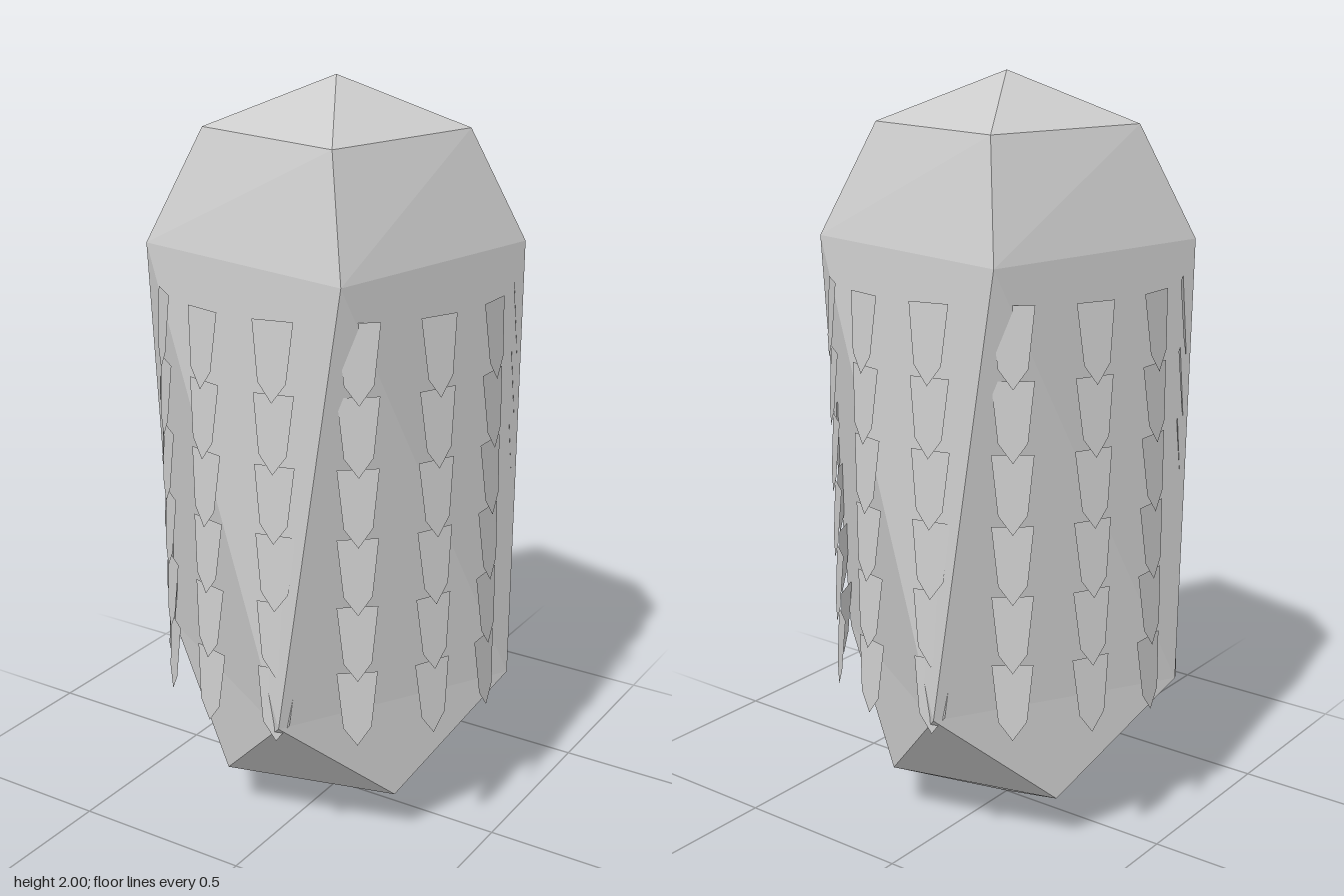
import * as THREE from 'three';

const polar = (r, a, y) => [r * Math.sin(a), y, r * Math.cos(a)];

// Four-sided body: rings of [height, radius, turn in degrees], top to bottom
function bodyGeometry() {
  const rings = [[1.87, 0.336, 30.3], [1.58, 0.484, 33.2], [0.43, 0.484, 14.4], [0.14, 0.336, -30.3]]
    .map(([y, r, turn]) => (i) => polar(r, THREE.MathUtils.degToRad(turn) + i * Math.PI / 2, y));
  const top = [0, 2, 0], bottom = [0, 0, 0];
  const points = [];
  const face = (...corners) => corners.forEach((c) => points.push(...c));

  for (let i = 0; i < 4; i++) {
    const j = i + 1;
    face(top, rings[0](i), rings[0](j));
    for (let k = 0; k < 3; k++) {
      const up = rings[k], low = rings[k + 1];
      if (k === 0) { // the shoulder is split along the other diagonal
        face(up(i), low(i), up(j));
        face(up(j), low(i), low(j));
      } else {
        face(up(i), low(i), low(j));
        face(up(i), low(j), up(j));
      }
    }
    face(rings[3](i), bottom, rings[3](j));
  }
  const geometry = new THREE.BufferGeometry();
  geometry.setAttribute('position', new THREE.Float32BufferAttribute(points, 3));
  geometry.computeVertexNormals();
  return geometry;
}

// Pointed scale hanging down from the middle of its top edge
function scaleGeometry() {
  const shape = new THREE.Shape();
  shape.moveTo(-0.052, 0);
  shape.lineTo(-0.036, -0.15);
  shape.lineTo(0, -0.2);
  shape.lineTo(0.036, -0.15);
  shape.lineTo(0.052, 0);
  shape.closePath();
  const geometry = new THREE.ShapeGeometry(shape);
  geometry.rotateX(-0.07); // lower end leans outward
  return geometry;
}

export function createModel() {
  const model = new THREE.Group();
  const material = new THREE.MeshStandardMaterial({ color: 0xcccccc, flatShading: true });
  const sheet = new THREE.MeshStandardMaterial({ color: 0xcccccc, flatShading: true, side: THREE.DoubleSide });

  const body = new THREE.Mesh(bodyGeometry(), material);
  body.name = 'body';
  model.add(body);

  // Six rows of fourteen scales around the body
  const scales = new THREE.Group();
  scales.name = 'scales';
  const geometry = scaleGeometry();
  for (let row = 0; row < 6; row++) {
    for (let column = 0; column < 14; column++) {
      const angle = Math.PI / 2 + column * Math.PI / 7;
      const scale = new THREE.Mesh(geometry, sheet);
      scale.name = 'scale';
      scale.position.set(...polar(0.455, angle, 1.49 - row * 0.181));
      scale.rotation.y = angle;
      scales.add(scale);
    }
  }
  model.add(scales);
  return model;
}
